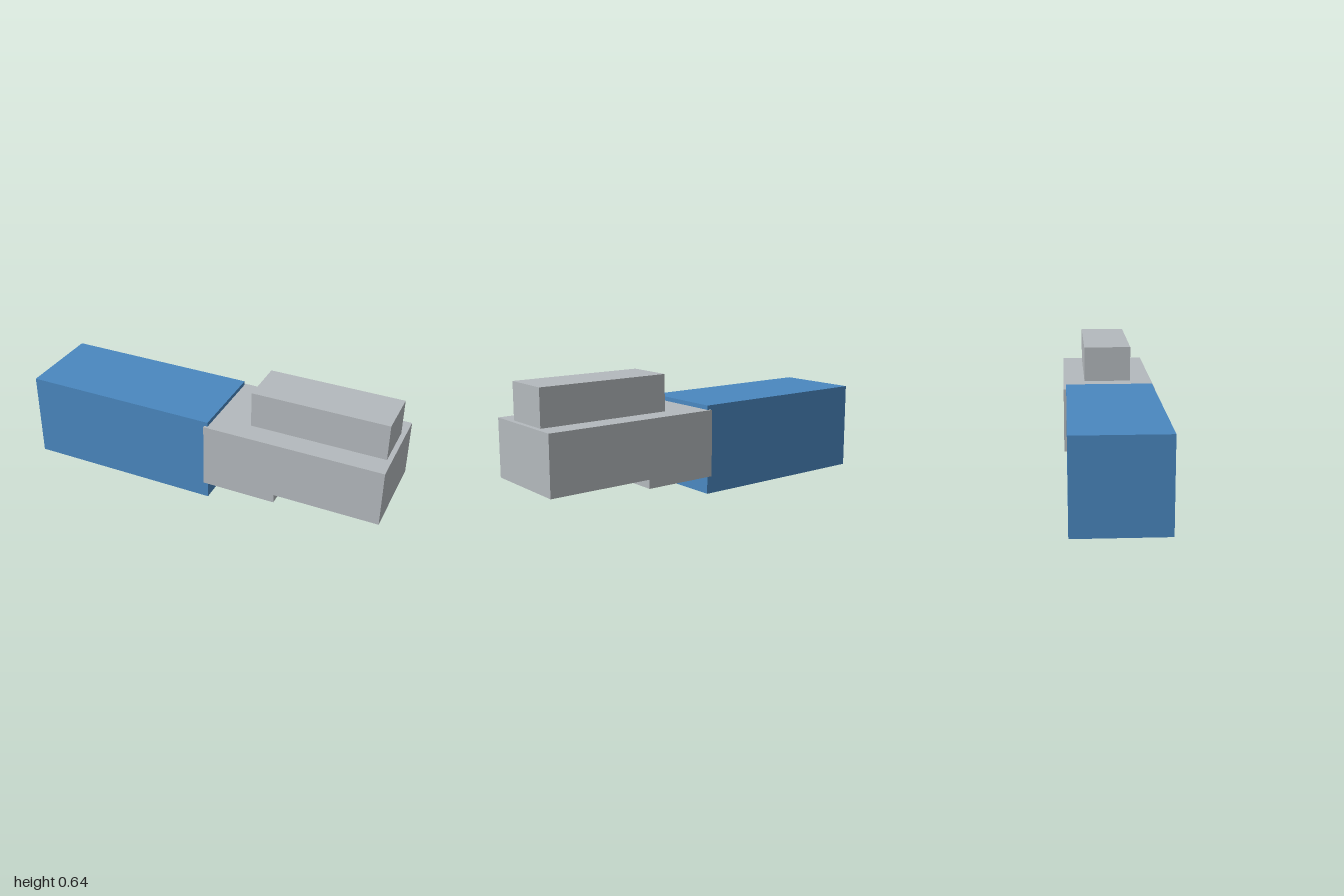
import * as THREE from 'three';

const blue = new THREE.MeshStandardMaterial({ color: 0x4a88c0 });
blue.name = 'blue';
const grey = new THREE.MeshStandardMaterial({ color: 0xb4b9bd });
grey.name = 'light grey';

// Box given by its x and y ranges, centred on z = 0
function block(name, material, x0, x1, y0, y1, depth) {
  const mesh = new THREE.Mesh(new THREE.BoxGeometry(x1 - x0, y1 - y0, depth), material);
  mesh.position.set((x0 + x1) / 2, (y0 + y1) / 2, 0);
  mesh.name = name;
  return mesh;
}

export function createModel() {
  const model = new THREE.Group();
  model.name = 'steppedBlockAssembly';

  // Long rear block and the raised block on top of the stepped body
  model.add(block('mainBlock', blue, -1, 0.06, 0, 0.472, 0.47));
  model.add(block('topBlock', grey, 0.257, 0.975, 0.449, 0.642, 0.26));

  // Stepped body: side outline with a notch underneath, extruded across z
  const outline = new THREE.Shape([
    [0.042, 0.096], [0.443, 0.096], [0.443, 0.143],
    [1, 0.143], [1, 0.449], [0.042, 0.449],
  ].map(([x, y]) => new THREE.Vector2(x, y)));
  const geometry = new THREE.ExtrudeGeometry(outline, { depth: 0.498, bevelEnabled: false });
  geometry.translate(0, 0, -0.249);
  const body = new THREE.Mesh(geometry, grey);
  body.name = 'steppedBody';
  model.add(body);

  return model;
}
